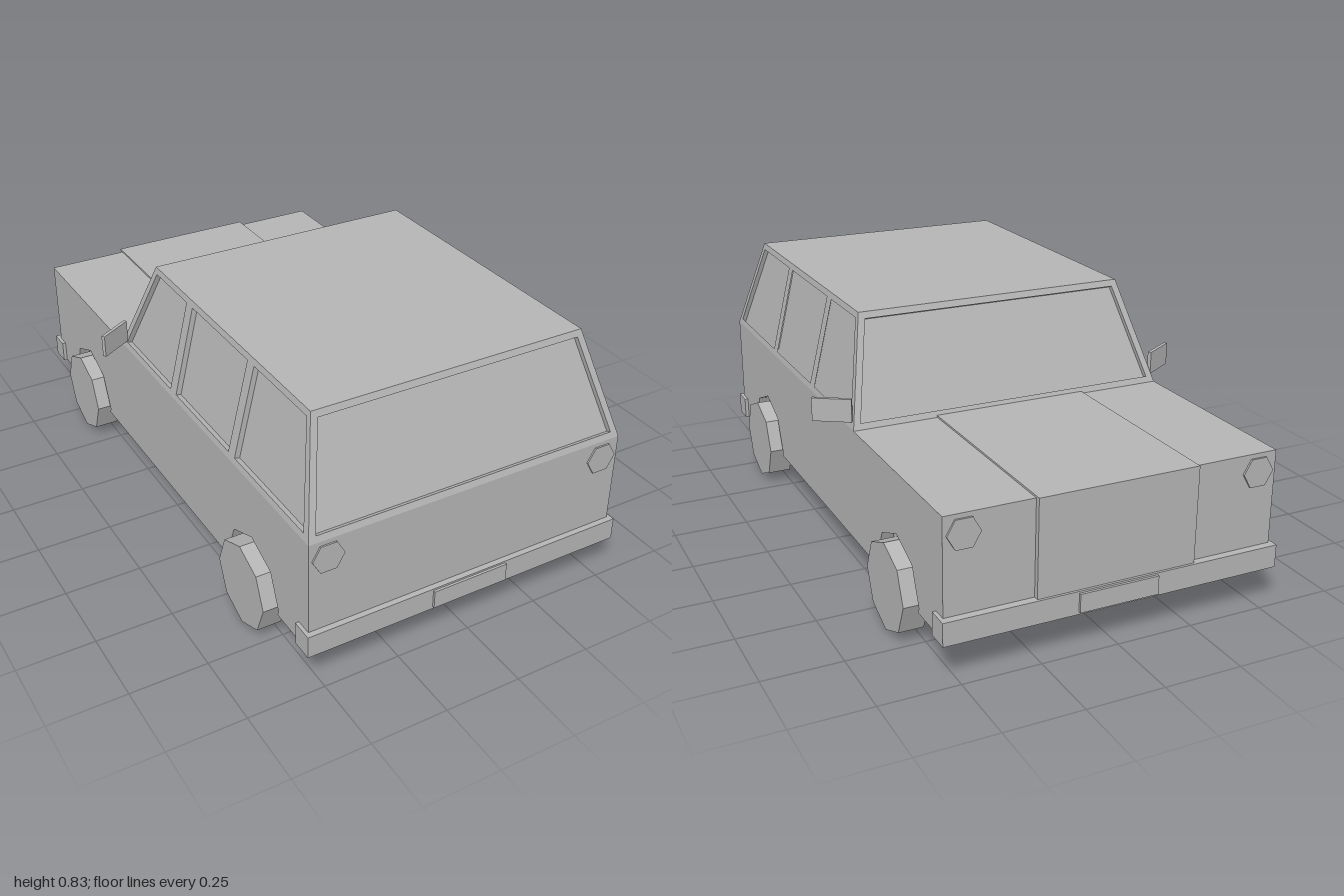
import * as THREE from 'three';

const paint = new THREE.MeshStandardMaterial({ color: 0xb4b4b4, flatShading: true });
paint.name = 'plain grey';

const FLOOR = 0.127, BELT = 0.503, ROOF = 0.833;
const WHEEL_Y = 0.143, WHEEL_R = 0.143, WHEEL_Z = 0.636;

function add(parent, name, geometry, x = 0, y = 0, z = 0) {
  const mesh = new THREE.Mesh(geometry, paint);
  mesh.name = name;
  mesh.position.set(x, y, z);
  parent.add(mesh);
  return mesh;
}

// Box given by its limits on each axis
function block(parent, name, x0, x1, y0, y1, z0, z1) {
  return add(parent, name, new THREE.BoxGeometry(x1 - x0, y1 - y0, z1 - z0),
    (x0 + x1) / 2, (y0 + y1) / 2, (z0 + z1) / 2);
}

// Cabin outline at height y: sides, tail (+z) and nose (-z) all lean inward
const rise = (y) => (y - BELT) / (ROOF - BELT);
const sideX = (y) => 0.54 - 0.08 * rise(y);
const tailZ = (y) => 0.973 - 0.13 * rise(y);
const noseZ = (y) => -0.3 + 0.145 * rise(y);

// Tapered cabin block between two heights, inset on all four sides
function taper(y0, y1, inset) {
  const g = new THREE.BoxGeometry(2, 1, 2);
  const p = g.attributes.position;
  for (let i = 0; i < p.count; i++) {
    const y = p.getY(i) > 0 ? y1 : y0;
    const z = p.getZ(i) > 0 ? tailZ(y) - inset : noseZ(y) + inset;
    p.setXYZ(i, p.getX(i) * (sideX(y) - inset), y, z);
  }
  g.computeVertexNormals();
  return g;
}

const polygon = (Type, pts) => new Type(pts.map(([a, b]) => new THREE.Vector2(a, b)));

// Window frame: outline with holes, thick toward the inside, sheared to the leaning face.
// Local x runs along the face, local z points outward.
function frame(outline, holes, lean, depth = 0.018) {
  const shape = polygon(THREE.Shape, outline);
  shape.holes = holes.map((h) => polygon(THREE.Path, h));
  const g = new THREE.ExtrudeGeometry(shape, { depth, bevelEnabled: false });
  const p = g.attributes.position;
  for (let i = 0; i < p.count; i++) {
    const y = p.getY(i), d = p.getZ(i) - depth;
    p.setY(i, y + d * lean);
    p.setZ(i, d - (y - BELT) * lean);
  }
  g.computeVertexNormals();
  return g;
}

function buildCabin(car) {
  const cabin = new THREE.Group();
  cabin.name = 'cabin';
  car.add(cabin);
  add(cabin, 'windowPanes', taper(BELT - 0.01, ROOF - 0.004, 0.018));
  add(cabin, 'roof', taper(0.817, ROOF, 0));

  // Tail and nose screens
  const screen = [[-0.54, BELT], [0.54, BELT], [0.46, ROOF], [-0.46, ROOF]];
  const opening = [[-0.513, 0.522], [0.513, 0.522], [0.442, 0.813], [-0.442, 0.813]];
  const height = ROOF - BELT;
  add(cabin, 'tailScreenFrame', frame(screen, [opening], 0.13 / height), 0, 0, 0.973);
  const nose = add(cabin, 'noseScreenFrame', frame(screen, [opening], 0.145 / height), 0, 0, -0.3);
  nose.rotation.y = Math.PI;

  // Three side windows, mirrored
  const windows = [
    [[0.53, 0.522], [0.938, 0.522], [0.83, 0.813], [0.53, 0.813]],
    [[0.125, 0.522], [0.49, 0.522], [0.49, 0.813], [0.125, 0.813]],
    [[-0.266, 0.522], [0.083, 0.522], [0.083, 0.813], [-0.14, 0.813]],
  ];
  const side = [[-0.3, BELT], [0.973, BELT], [0.843, ROOF], [-0.155, ROOF]];
  for (const s of [-1, 1]) {
    const flip = (pts) => pts.map(([z, y]) => [-s * z, y]);
    const mesh = add(cabin, s > 0 ? 'leftWindowFrame' : 'rightWindowFrame',
      frame(flip(side), windows.map(flip), 0.08 / height), s * 0.54, 0, 0);
    mesh.rotation.y = s * Math.PI / 2;
  }
}

// Side wall with octagonal wheel cut-outs along its lower edge
function sideWall() {
  const R = 0.163, pts = [[-0.967, FLOOR], [-0.967, BELT], [0.973, BELT], [0.973, FLOOR]];
  for (const z of [WHEEL_Z, -WHEEL_Z]) {
    pts.push([z + R - 0.007, FLOOR]);
    for (let i = 0; i <= 4; i++) {
      const a = i * Math.PI / 4;
      pts.push([z + R * Math.cos(a), WHEEL_Y + R * Math.sin(a)]);
    }
    pts.push([z - R + 0.007, FLOOR]);
  }
  const shape = polygon(THREE.Shape, pts.map(([z, y]) => [-z, y]));
  const g = new THREE.ExtrudeGeometry(shape, { depth: 0.04, bevelEnabled: false });
  return g.rotateY(Math.PI / 2);
}

export function createModel() {
  const car = new THREE.Group();
  car.name = 'car';

  // Lower body and raised bonnet
  block(car, 'bodyCore', -0.5, 0.5, FLOOR, BELT, -0.967, 0.973);
  add(car, 'leftSideWall', sideWall(), 0.5, 0, 0);
  add(car, 'rightSideWall', sideWall(), -0.54, 0, 0);
  block(car, 'bonnet', -0.26, 0.26, FLOOR + 0.01, BELT + 0.006, -0.984, -0.29);

  buildCabin(car);

  // Bumpers, number plates and lamps at both ends
  for (const s of [-1, 1]) {
    const end = s > 0 ? 'tail' : 'nose';
    const span = (a, b) => (s > 0 ? [a, b] : [-b, -a]);
    block(car, end + 'Bumper', -0.552, 0.552, 0.125, 0.199, ...span(0.92, 0.992));
    block(car, end + 'Plate', -0.13, 0.13, 0.133, 0.193, ...span(0.991, 1));
    for (const x of [-0.478, 0.478]) {
      const disc = new THREE.CylinderGeometry(0.052, 0.052, 0.01, 6);
      disc.rotateY(Math.PI / 2).rotateX(Math.PI / 2);
      disc.rotateZ(Math.PI / 6 * (Math.abs(disc.attributes.position.getX(0)) > 0.04 ? 0 : 1));
      add(car, end + 'Lamp', disc, x, 0.443, s > 0 ? 0.973 : -0.968);
    }
  }

  // Octagonal wheels and angled mirrors
  for (const s of [-1, 1]) {
    for (const z of [WHEEL_Z, -WHEEL_Z]) {
      const wheel = new THREE.CylinderGeometry(WHEEL_R, WHEEL_R, 0.08, 8).rotateZ(Math.PI / 2);
      add(car, 'wheel', wheel, s * 0.54, WHEEL_Y, z);
    }
    const mirror = add(car, s > 0 ? 'leftMirror' : 'rightMirror',
      new THREE.BoxGeometry(0.125, 0.075, 0.012), s * 0.587, 0.562, -0.242);
    mirror.rotation.y = -s * 0.554;
  }
  return car;
}
